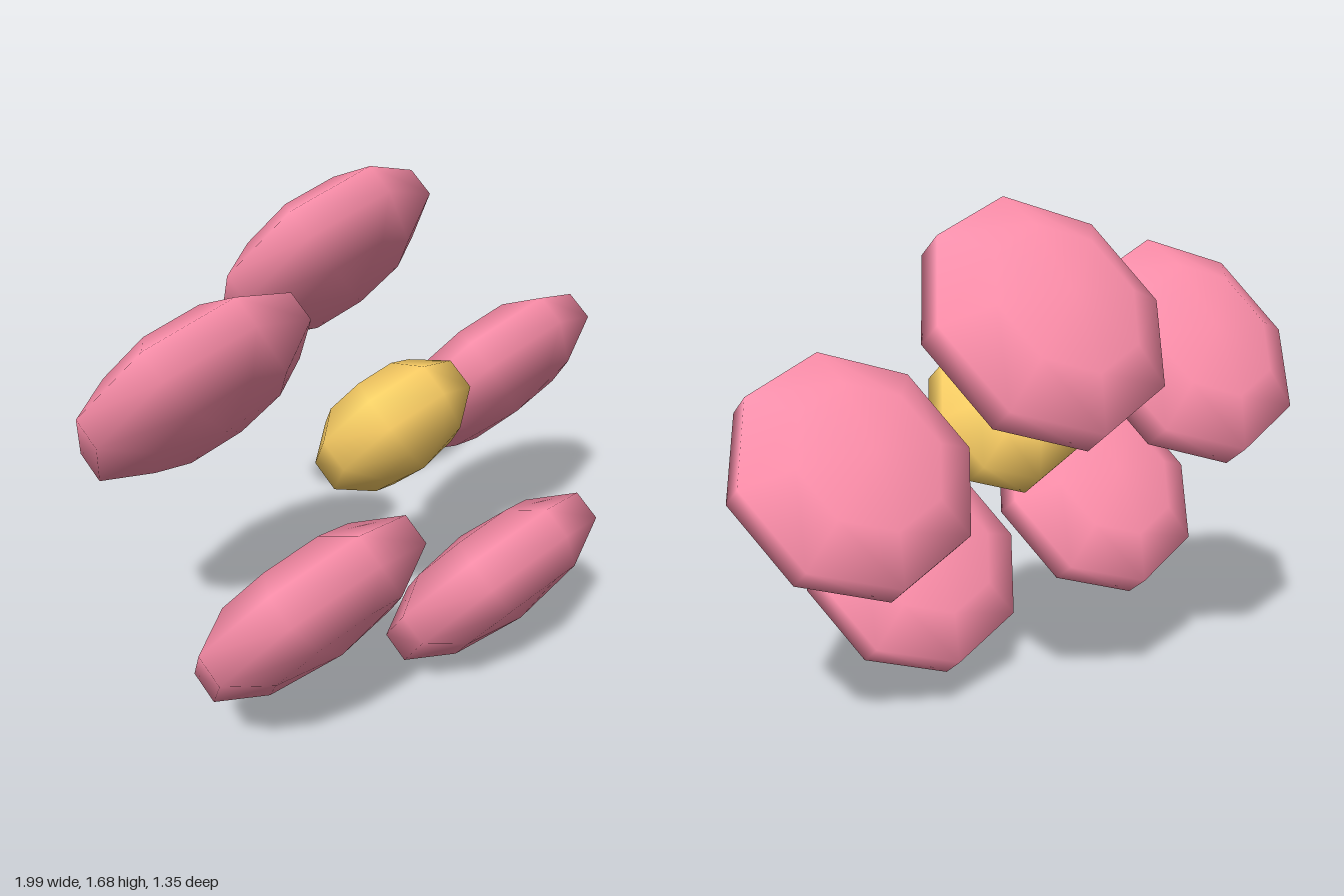
import * as THREE from 'three';

const TILT = THREE.MathUtils.degToRad(52);

// Low-poly smooth-shaded ellipsoid, flattened along its pole and leaning forward
function flattenedBall(name, radius, flatness, color) {
  const mesh = new THREE.Mesh(
    new THREE.SphereGeometry(radius, 8, 5),
    new THREE.MeshStandardMaterial({ color })
  );
  mesh.name = name;
  mesh.scale.y = flatness;
  mesh.rotation.x = -TILT;
  return mesh;
}

export function createModel() {
  const flower = new THREE.Group();
  flower.name = 'flower';
  const up = Math.sin(TILT), back = Math.cos(TILT);
  const cx = -0.066, cy = 0.845;

  // Five petals on a ring that leans back
  const ring = 0.65;
  for (let i = 0; i < 5; i++) {
    const a = (i / 5) * Math.PI * 2;
    const petal = flattenedBall('petal' + (i + 1), 0.43, 0.4, 0xff8fab);
    const s = ring * Math.sin(a);
    petal.position.set(cx + ring * Math.cos(a), cy + s * up, -s * back);
    flower.add(petal);
  }

  // Flower centre, raised along the ring's normal
  const centre = flattenedBall('flowerCentre', 0.29, 0.6, 0xffd166);
  const lift = 0.135;
  centre.position.set(cx, cy + lift * back, lift * up);
  flower.add(centre);

  return flower;
}
